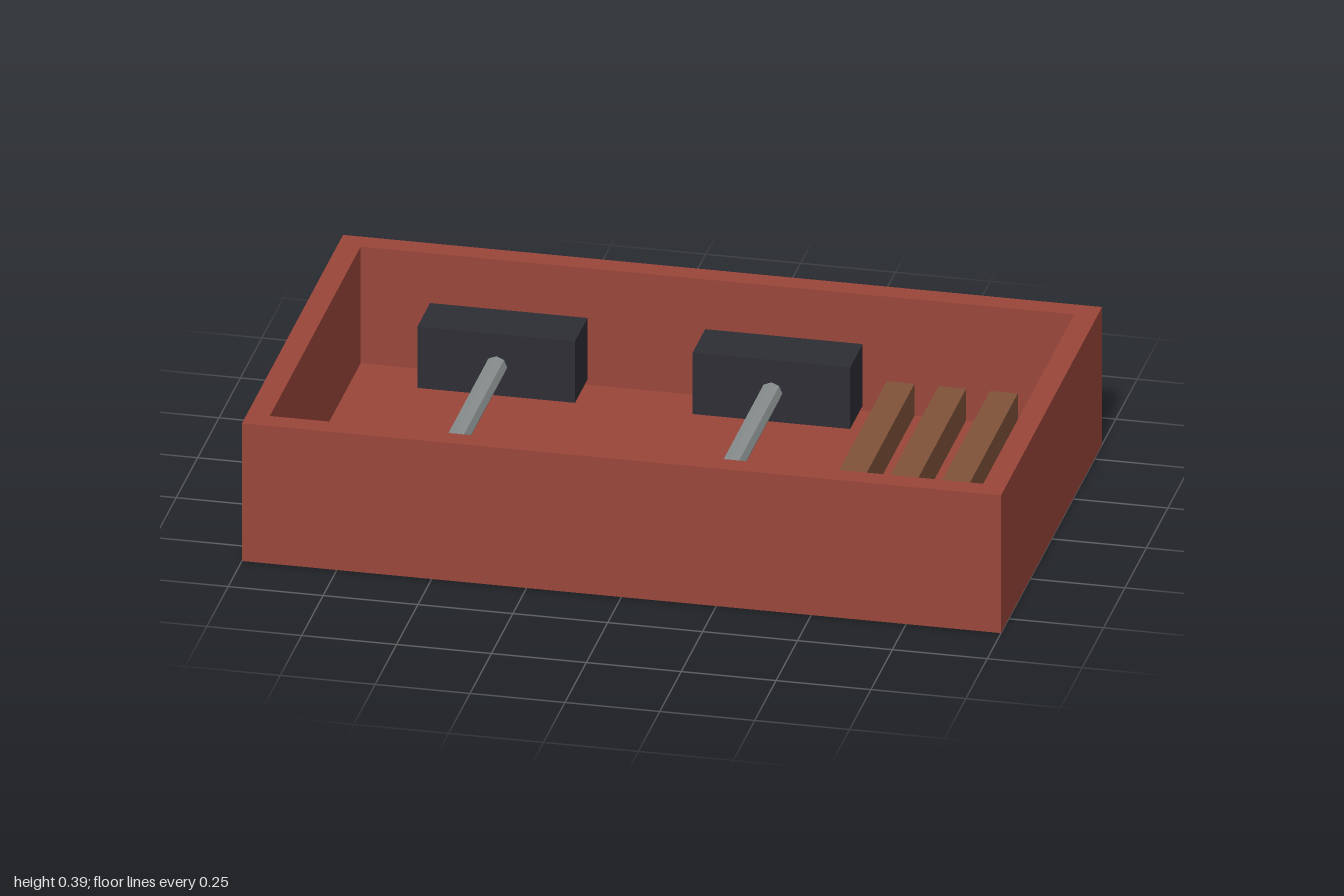
import * as THREE from 'three';

const paint = (name, color) => Object.assign(new THREE.MeshStandardMaterial({ color }), { name });

function add(parent, name, geometry, material, x, y, z) {
  const mesh = new THREE.Mesh(geometry, material);
  mesh.name = name;
  mesh.position.set(x, y, z);
  parent.add(mesh);
  return mesh;
}

// Rectangle centred on the origin
function rectangle(target, w, d) {
  target.moveTo(-w / 2, -d / 2);
  target.lineTo(w / 2, -d / 2);
  target.lineTo(w / 2, d / 2);
  target.lineTo(-w / 2, d / 2);
  target.closePath();
  return target;
}

export function createModel() {
  const red = paint('tray red', 0x9a463a);
  const dark = paint('dark iron', 0x2d2d35);
  const grey = paint('steel grey', 0x8a9090);
  grey.flatShading = true;
  const brown = paint('wood brown', 0x80533a);

  const model = new THREE.Group();
  model.name = 'toolTray';

  const W = 2, H = 0.39, D = 1.18, wall = 0.06, floor = 0.06;

  // Tray: a rim of four walls around a floor
  const tray = new THREE.Group();
  tray.name = 'tray';
  model.add(tray);
  const rim = rectangle(new THREE.Shape(), W, D);
  rim.holes.push(rectangle(new THREE.Path(), W - 2 * wall, D - 2 * wall));
  const rimGeometry = new THREE.ExtrudeGeometry(rim, { depth: H, bevelEnabled: false });
  rimGeometry.rotateX(-Math.PI / 2);
  add(tray, 'walls', rimGeometry, red, 0, 0, 0);
  add(tray, 'floor', new THREE.BoxGeometry(W - 2 * wall, floor, D - 2 * wall), red, 0, floor / 2, 0);

  // Two hammers lying with their heads to the back
  const handleGeometry = new THREE.CylinderGeometry(0.029, 0.029, 0.65, 8).rotateX(Math.PI / 2);
  [-0.515, 0.21].forEach((x, i) => {
    const hammer = new THREE.Group();
    hammer.name = i ? 'leftHammer' : 'rightHammer';
    hammer.position.set(x, 0.235, 0);
    model.add(hammer);
    add(hammer, 'hammerHead', new THREE.BoxGeometry(0.415, 0.174, 0.147), dark, 0, 0, -0.303);
    add(hammer, 'hammerHandle', handleGeometry, grey, 0, -0.005, 0.02);
  });

  // Three wooden slats along the left side
  for (let i = 0; i < 3; i++) {
    add(model, 'slat', new THREE.BoxGeometry(0.073, 0.09, 0.805), brown, 0.511 + i * 0.136, 0.165, -0.003);
  }

  return model;
}
